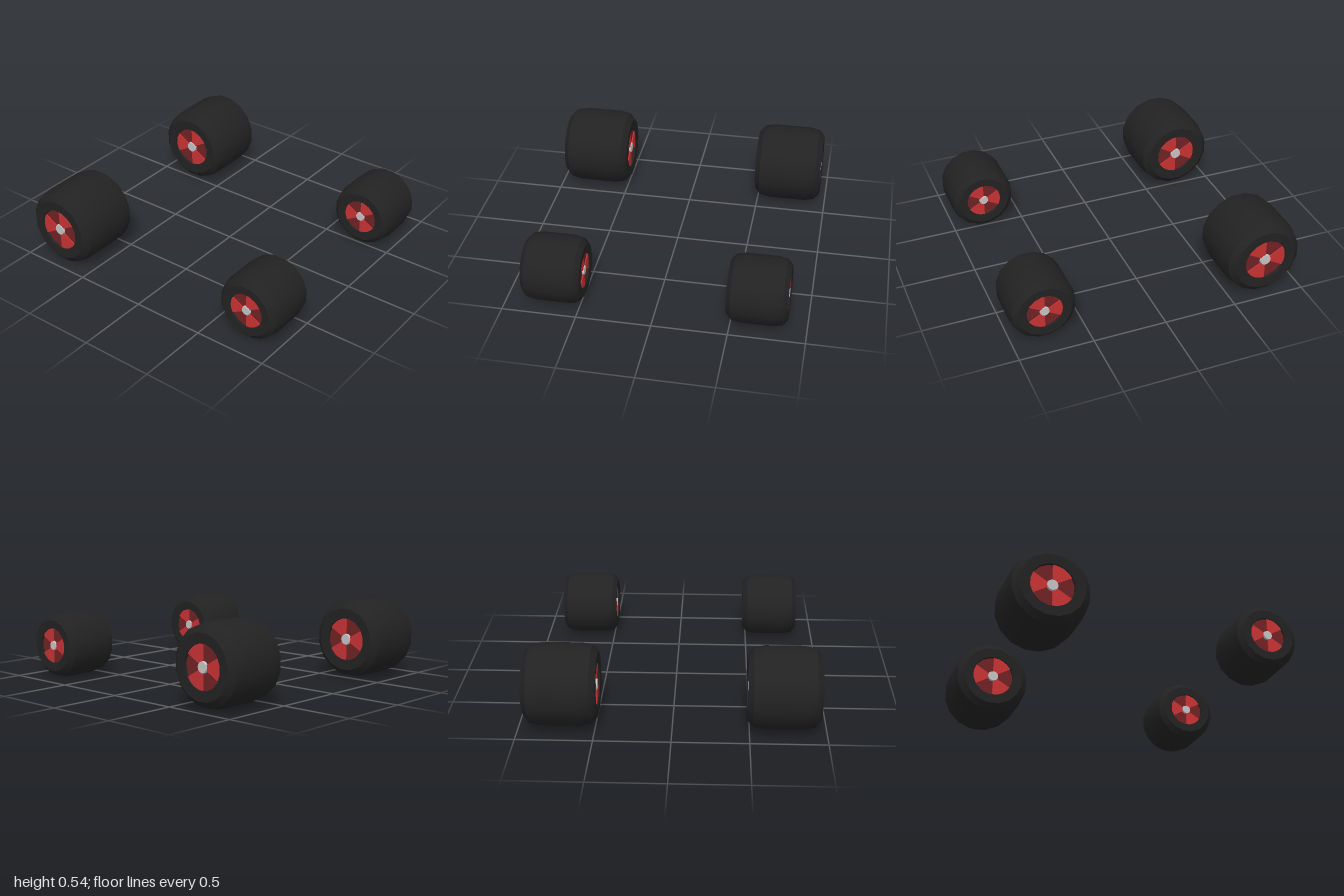
import * as THREE from 'three';
import { toCreasedNormals } from 'three/addons/utils/BufferGeometryUtils.js';

const SIDES = 16;
const HALF = 0.2375; // half the width of a rear wheel
const RIM = 0.145;

function material(name, color) {
  const m = new THREE.MeshStandardMaterial({ color });
  m.name = name;
  return m;
}

export function createModel() {
  const rubber = material('black rubber', 0x222222);
  const red = material('red rim', 0xc83234);
  const darkRed = material('dark red recess', 0x702224);
  const silver = material('silver hub', 0xc4c4c4);

  function mesh(name, geometry, mat) {
    const m = new THREE.Mesh(geometry, mat);
    m.name = name;
    return m;
  }

  // Tyre: chamfered barrel with a shallow well on each side
  const half = [
    [RIM, HALF - 0.02], [RIM + 0.003, HALF - 0.003], [0.216, HALF],
    [0.258, HALF - 0.037], [0.272, HALF - 0.11],
  ];
  const profile = [
    ...half.map(([r, y]) => new THREE.Vector2(r, -y)),
    ...half.slice().reverse().map(([r, y]) => new THREE.Vector2(r, y)),
  ];
  const tyreGeo = toCreasedNormals(
    new THREE.LatheGeometry(profile, SIDES, Math.PI / SIDES), 0.5);
  tyreGeo.rotateZ(Math.PI / 2);

  // One raised spoke: a sixth of the rim
  const sector = new THREE.Shape();
  sector.moveTo(0, 0);
  for (let i = 0; i <= 4; i++) {
    const a = -Math.PI / 6 + (i / 4) * Math.PI / 3;
    sector.lineTo(RIM * Math.cos(a), RIM * Math.sin(a));
  }
  sector.closePath();
  const spokeGeo = new THREE.ExtrudeGeometry(sector, { depth: 0.008, bevelEnabled: false });
  const recessGeo = new THREE.CircleGeometry(RIM + 0.002, SIDES, Math.PI / SIDES);
  const hubGeo = new THREE.CylinderGeometry(0.036, 0.04, 0.014, 12).rotateX(Math.PI / 2);

  // Rim face, built facing +z and turned to either side of the wheel
  function rimFace(side) {
    const g = new THREE.Group();
    g.name = side > 0 ? 'leftRim' : 'rightRim';
    const recess = mesh('rimRecess', recessGeo, darkRed);
    recess.position.z = HALF - 0.019;
    g.add(recess);
    for (let i = 0; i < 3; i++) {
      const spoke = mesh('spoke', spokeGeo, red);
      spoke.position.z = HALF - 0.018;
      spoke.rotation.z = (side > 0 ? 0 : Math.PI) + i * Math.PI * 2 / 3;
      g.add(spoke);
    }
    const hub = mesh('hub', hubGeo, silver);
    hub.position.z = HALF - 0.011;
    g.add(hub);
    g.rotation.y = side * Math.PI / 2;
    return g;
  }

  function wheel(name, x, y, z, scale) {
    const g = new THREE.Group();
    g.name = name;
    g.add(mesh('tyre', tyreGeo, rubber), rimFace(1), rimFace(-1));
    g.position.set(x, y, z);
    g.scale.setScalar(scale);
    return g;
  }

  // Two large rear wheels and two smaller front wheels
  const model = new THREE.Group();
  model.name = 'wheelSet';
  for (const s of [1, -1]) {
    const side = s > 0 ? 'Left' : 'Right';
    model.add(wheel('rear' + side + 'Wheel', s * 0.72, 0.27, -0.733, 1));
    model.add(wheel('front' + side + 'Wheel', s * 0.675, 0.222, 0.778, 0.832));
  }
  return model;
}
